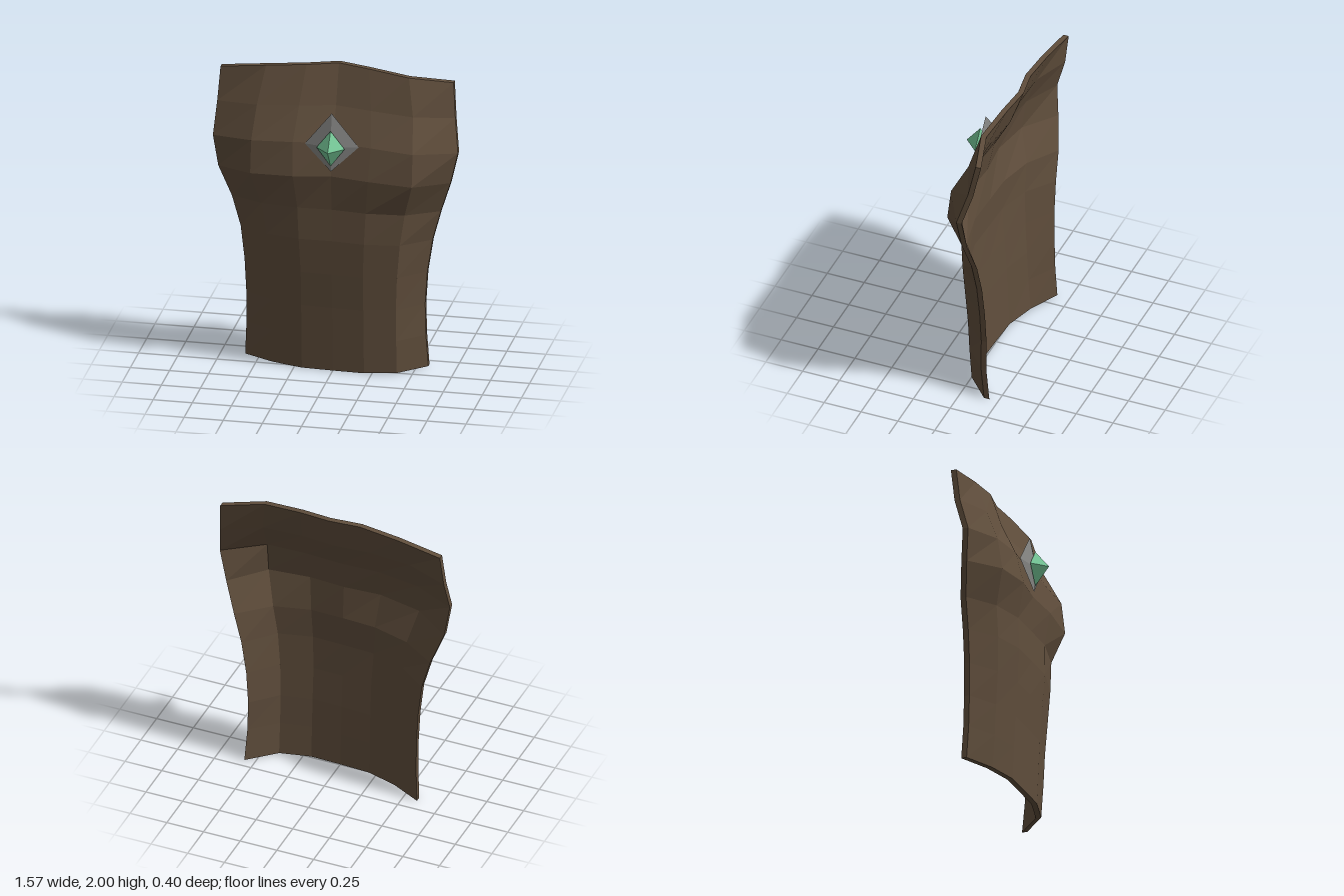
import * as THREE from 'three';

// Cross-sections, bottom to top: [y at centre, drop at sides, left half-width, inner columns x, right half-width, z of 7 columns]
const ROWS = [
  [0.00, 0.00, 0.595, 0.20, 0.40, 0.57, [-0.13, -0.03, 0.03, 0.04, 0.045, 0, -0.155]],
  [0.22, 0.00, 0.585, 0.20, 0.40, 0.56, [-0.12, -0.015, 0.04, 0.05, 0.055, 0.015, -0.13]],
  [0.43, 0.00, 0.585, 0.20, 0.40, 0.555, [-0.115, -0.005, 0.05, 0.06, 0.065, 0.025, -0.13]],
  [0.66, 0.01, 0.595, 0.20, 0.41, 0.57, [-0.11, 0.01, 0.065, 0.075, 0.08, 0.04, -0.125]],
  [0.89, 0.02, 0.62, 0.21, 0.43, 0.605, [-0.11, 0.02, 0.08, 0.085, 0.095, 0.05, -0.12]],
  [1.10, 0.03, 0.675, 0.22, 0.46, 0.66, [-0.105, 0.02, 0.075, 0.08, 0.09, 0.045, -0.11]],
  [1.33, 0.05, 0.755, 0.24, 0.52, 0.73, [-0.07, 0.08, 0.12, 0.095, 0.12, 0.115, -0.07]],
  [1.54, 0.05, 0.785, 0.25, 0.52, 0.78, [-0.05, 0.05, 0.07, 0.05, 0.075, 0.09, -0.055]],
  [1.75, 0.05, 0.77, 0.23, 0.50, 0.75, [-0.11, -0.03, -0.03, -0.06, -0.03, -0.02, -0.12]],
  [2.00, 0.08, 0.755, 0.20, 0.46, 0.73, [-0.14, -0.12, -0.115, -0.15, -0.12, -0.09, -0.165]],
];
const THICKNESS = 0.036;

// Adds a four-cornered face, corners counter-clockwise from outside
function quad(out, a, b, c, d) {
  for (const p of [a, b, c, a, c, d]) out.push(...p);
}

function flatGeometry(positions) {
  const g = new THREE.BufferGeometry();
  g.setAttribute('position', new THREE.Float32BufferAttribute(positions, 3));
  g.computeVertexNormals();
  return g;
}

// Thin curved shell: front grid, offset back grid and rim
function shellGeometry() {
  const front = ROWS.map(([y, drop, left, inner, outer, right, zs]) => {
    const xs = [-left, -outer, -inner, 0, inner, outer, right];
    return xs.map((x, i) => [x, y - drop * Math.pow(Math.abs(i - 3) / 3, 1.6), zs[i]]);
  });
  const back = front.map(row => row.map(([x, y, z]) => [x, y, z - THICKNESS]));
  const out = [];
  const top = ROWS.length - 1;
  for (let r = 0; r < top; r++) {
    for (let c = 0; c < 6; c++) {
      quad(out, front[r][c], front[r][c + 1], front[r + 1][c + 1], front[r + 1][c]);
      quad(out, back[r][c + 1], back[r][c], back[r + 1][c], back[r + 1][c + 1]);
    }
    quad(out, front[r][6], back[r][6], back[r + 1][6], front[r + 1][6]);
    quad(out, back[r][0], front[r][0], front[r + 1][0], back[r + 1][0]);
  }
  for (let c = 0; c < 6; c++) {
    quad(out, front[top][c], front[top][c + 1], back[top][c + 1], back[top][c]);
    quad(out, back[0][c], back[0][c + 1], front[0][c + 1], front[0][c]);
  }
  return flatGeometry(out);
}

// Four-sided double pyramid; ring runs right, top, left, bottom
function diamondGeometry(ring, tip, tail) {
  const out = [];
  ring.forEach((a, i) => {
    const b = ring[(i + 1) % 4];
    out.push(...a, ...b, ...tip, ...b, ...a, ...tail);
  });
  return flatGeometry(out);
}

export function createModel() {
  const material = (name, color) => {
    const m = new THREE.MeshStandardMaterial({ color, flatShading: true });
    m.name = name;
    return m;
  };
  const group = new THREE.Group();
  group.name = 'armourPlate';
  const add = (name, geometry, mat) => {
    const mesh = new THREE.Mesh(geometry, mat);
    mesh.name = name;
    group.add(mesh);
  };

  // Curved leather body
  add('body', shellGeometry(), material('brownLeather', 0x604e3c));

  // Grey diamond setting
  add('gemSetting', diamondGeometry(
    [[0.172, 1.53, 0.07], [0, 1.745, 0.072], [-0.172, 1.53, 0.07], [0, 1.365, 0.1]],
    [0, 1.53, 0.112], [0, 1.53, 0.045]), material('greyMetal', 0x868684));

  // Green pointed gem
  add('gem', diamondGeometry(
    [[0.09, 1.525, 0.108], [0, 1.64, 0.108], [-0.09, 1.525, 0.108], [0, 1.405, 0.108]],
    [0, 1.525, 0.2], [0, 1.525, 0.09]), material('greenGem', 0x76c898));

  return group;
}
